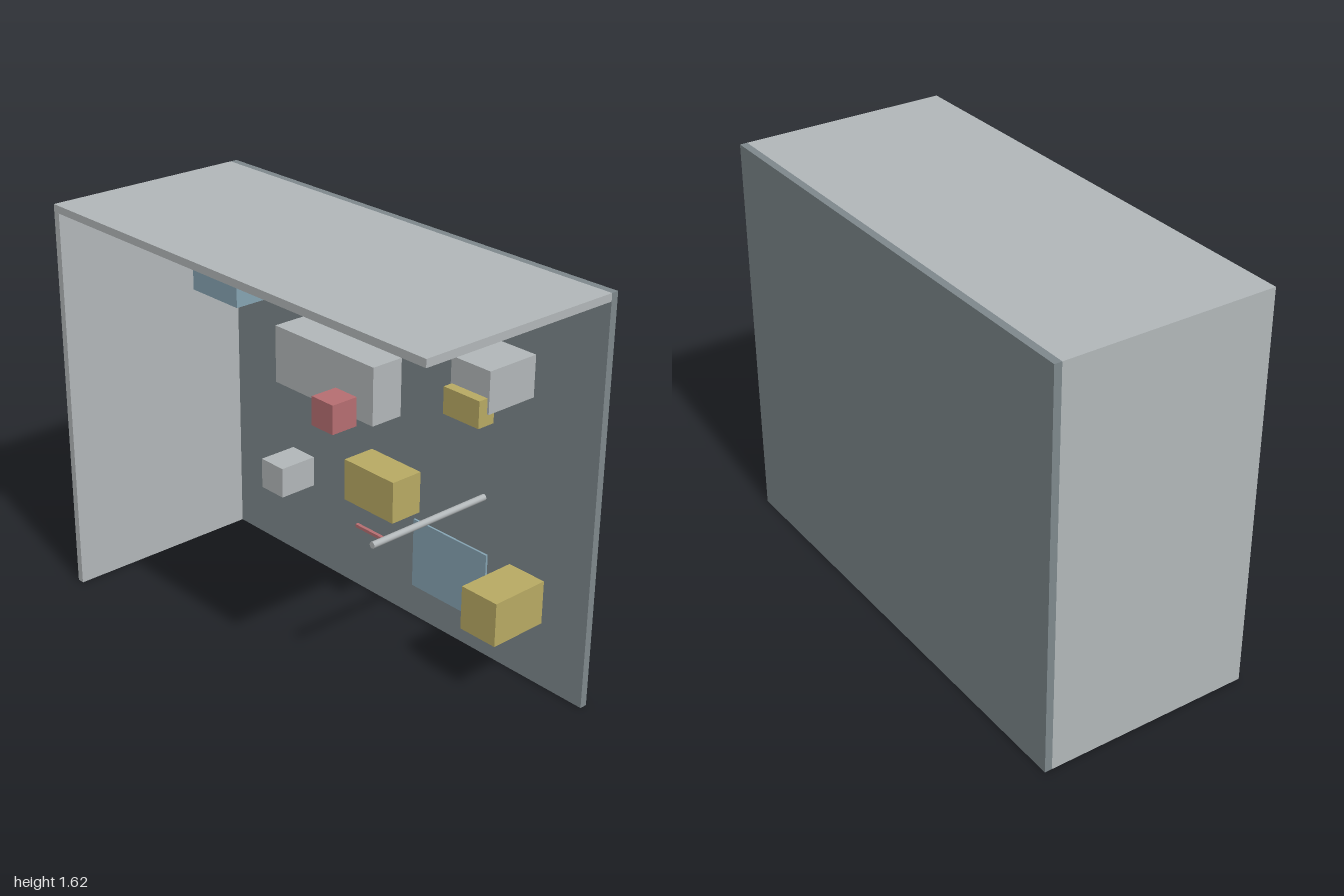
import * as THREE from 'three';

const paint = (name, color) => {
  const m = new THREE.MeshStandardMaterial({ color });
  m.name = name;
  return m;
};

export function createModel() {
  const model = new THREE.Group();
  model.name = 'wallDisplay';

  const lightGrey = paint('light grey', 0xb2b7b9);
  const slate = paint('slate grey', 0x7e888c);
  const blue = paint('dusty blue', 0x86a4b3);
  const yellow = paint('mustard yellow', 0xb8aa63);
  const red = paint('faded red', 0xb66e71);

  // Adds a box spanning the given ranges
  const box = (name, material, [x0, x1], [y0, y1], [z0, z1]) => {
    const mesh = new THREE.Mesh(new THREE.BoxGeometry(x1 - x0, y1 - y0, z1 - z0), material);
    mesh.position.set((x0 + x1) / 2, (y0 + y1) / 2, (z0 + z1) / 2);
    mesh.name = name;
    model.add(mesh);
  };

  const back = -0.41; // front surface of the back panel
  const ceiling = 1.592; // underside of the top panel

  // Enclosing panels: back, one side and top
  box('backPanel', slate, [-1, 1], [0, 1.622], [-0.44, back]);
  box('sidePanel', lightGrey, [-1, -0.97], [0, ceiling], [back, 0.44]);
  box('topPanel', lightGrey, [-1, 1], [ceiling, 1.622], [back, 0.44]);

  // Blocks fixed to the back panel
  box('upperBlueBlock', blue, [-0.77, -0.5], [1.23, 1.375], [back, -0.03]);
  box('middleYellowBlock', yellow, [-0.14, 0.135], [0.47, 0.645], [back, -0.265]);
  box('lowerYellowBlock', yellow, [0.615, 0.787], [0.265, 0.443], [back, -0.16]);
  box('smallGreyBlock', lightGrey, [-0.62, -0.49], [0.35, 0.48], [back, -0.24]);
  box('bluePlate', blue, [0.113, 0.504], [0.14, 0.435], [back, -0.401]);

  // Blocks standing clear of the back panel
  box('longGreyBlock', lightGrey, [-0.5, 0.064], [0.87, 1.11], [-0.365, -0.22]);
  box('redBlock', red, [-0.1, 0.018], [0.868, 0.988], [-0.18, -0.06]);
  box('upperGreyBlock', lightGrey, [0.514, 0.7], [1.152, 1.314], [-0.395, -0.168]);
  box('upperYellowBlock', yellow, [0.52, 0.692], [1.108, 1.212], [-0.203, -0.128]);
  box('redBar', red, [-0.2, -0.024], [0.282, 0.295], [-0.395, -0.38]);

  // Fittings under the top panel
  box('blueCeilingPlate', blue, [-0.71, -0.295], [1.58, ceiling], [0.05, 0.24]);
  box('wideCeilingBlock', lightGrey, [0.155, 0.354], [1.543, ceiling], [-0.12, -0.025]);
  box('narrowCeilingBlock', lightGrey, [0.709, 0.777], [1.547, ceiling], [-0.12, 0.01]);

  // Rod projecting forward from the back panel
  const rod = new THREE.Mesh(new THREE.CylinderGeometry(0.013, 0.013, 0.565, 12), lightGrey);
  rod.rotation.x = Math.PI / 2;
  rod.position.set(0.471, 0.666, -0.1275);
  rod.name = 'rod';
  model.add(rod);

  return model;
}
